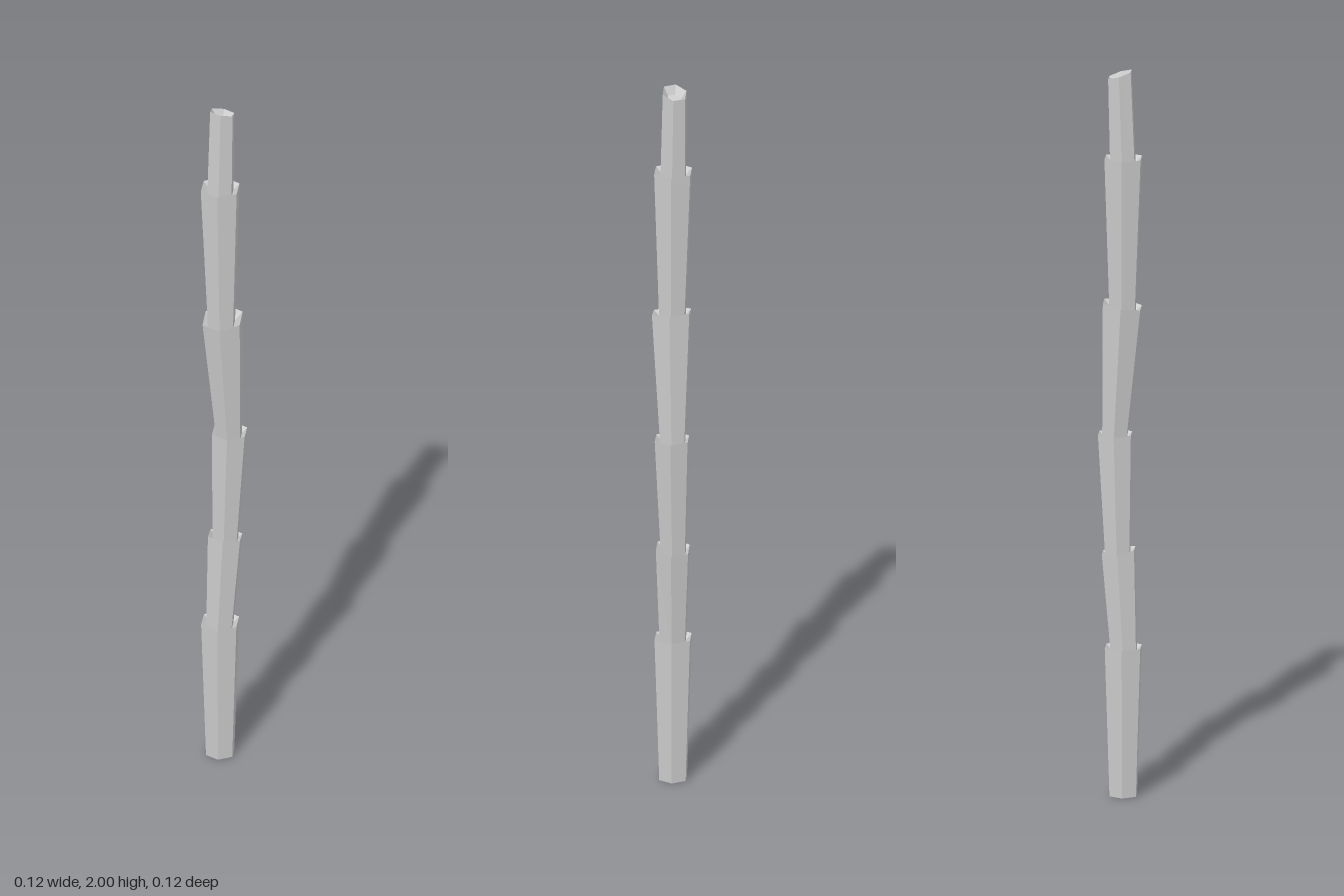
import * as THREE from 'three';

const material = new THREE.MeshStandardMaterial({ color: 0xcccccc, flatShading: true });
const DIP = 0.02; // depth of the funnel in the top of each segment

// Six-sided flared segment leaning from one centre to another, with a sunken, tilted top.
function stalkSegment({ y0, y1, from, to, r0, r1, tilt }) {
  const h = y1 - y0;
  const profile = [[0, 0], [r0, 0], [r1, h], [r1 * 0.6, h - DIP], [0, h - DIP]]
    .map(([x, y]) => new THREE.Vector2(x, y));
  const geometry = new THREE.LatheGeometry(profile, 6);
  const pos = geometry.attributes.position;
  for (let i = 0; i < pos.count; i++) {
    const x = pos.getX(i), y = pos.getY(i), z = pos.getZ(i);
    const t = y / h;
    pos.setXYZ(i,
      x + THREE.MathUtils.lerp(from[0], to[0], t),
      y0 + y + (t > 0 ? tilt * x : 0),
      z + THREE.MathUtils.lerp(from[1], to[1], t));
  }
  geometry.computeVertexNormals();
  return new THREE.Mesh(geometry, material);
}

export function createModel() {
  const group = new THREE.Group();
  group.name = 'stalk';

  // Centres are [x, z]; every segment starts inside the funnel of the one below.
  const segments = [
    { y0: 0, y1: 0.41, from: [-0.01, -0.005], to: [-0.01, -0.005], r0: 0.041, r1: 0.055, tilt: 0 },
    { y0: 0.39, y1: 0.673, from: [-0.012, -0.005], to: [0.003, 0.002], r0: 0.039, r1: 0.05, tilt: -0.15 },
    { y0: 0.65, y1: 0.995, from: [0.005, 0.001], to: [0.013, 0.009], r0: 0.037, r1: 0.051, tilt: 0 },
    { y0: 0.975, y1: 1.353, from: [0.014, 0.007], to: [-0.007, 0.001], r0: 0.037, r1: 0.058, tilt: 0.16 },
    { y0: 1.33, y1: 1.76, from: [-0.008, -0.002], to: [-0.01, -0.005], r0: 0.039, r1: 0.056, tilt: 0 },
    { y0: 1.74, y1: 1.99, from: [-0.009, -0.005], to: [-0.001, -0.005], r0: 0.038, r1: 0.035, tilt: -0.32 },
  ];
  segments.forEach((s, i) => {
    const mesh = stalkSegment(s);
    mesh.name = `stalkSegment${i + 1}`;
    group.add(mesh);
  });
  return group;
}
